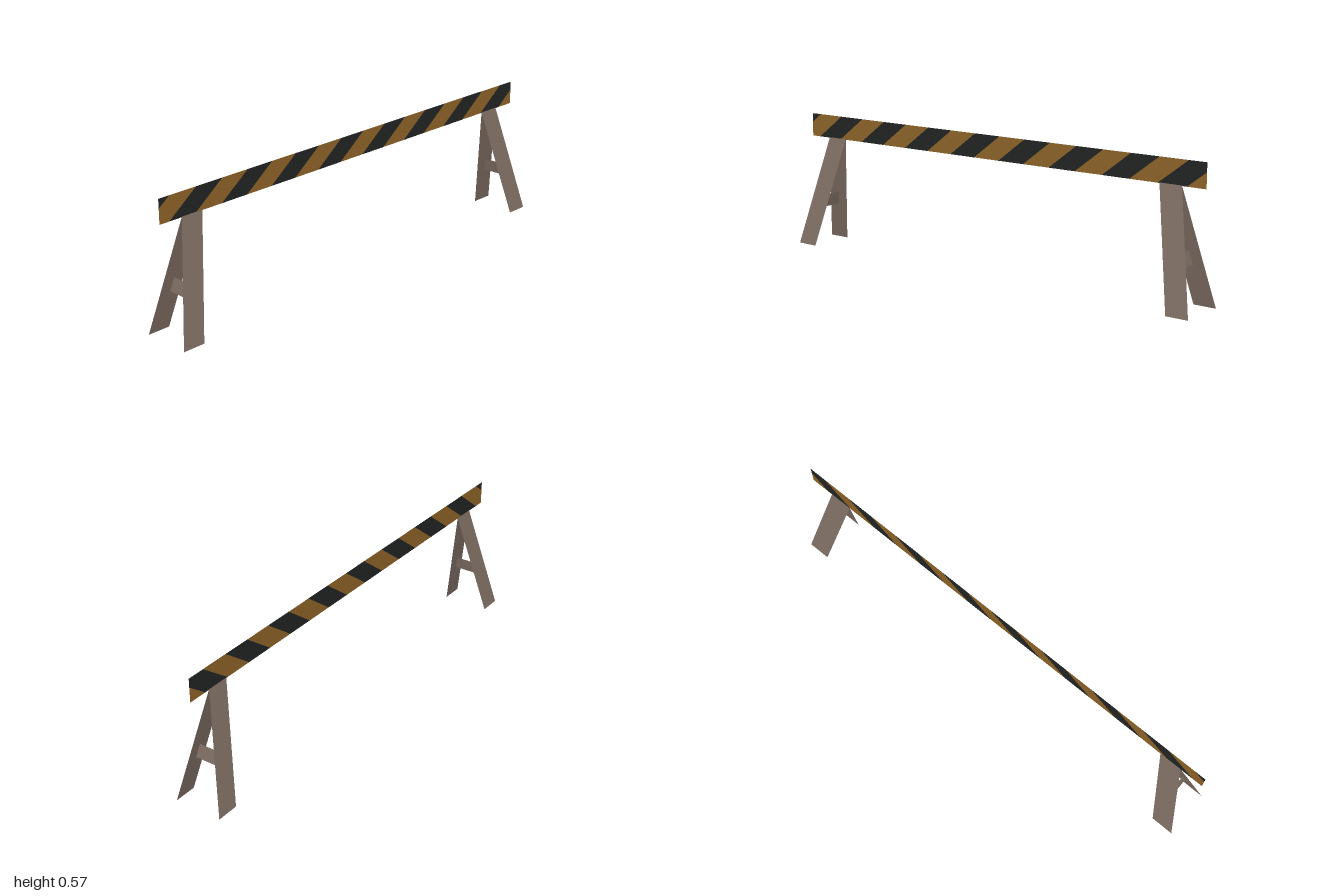
import * as THREE from 'three';

const mat = (name, color) => {
  const m = new THREE.MeshStandardMaterial({ color, side: THREE.DoubleSide });
  m.name = name;
  return m;
};

// Flat sheet from four corners, counter-clockwise seen from its front
function sheet(name, corners, material) {
  const g = new THREE.BufferGeometry();
  g.setAttribute('position', new THREE.Float32BufferAttribute(corners.flat(), 3));
  g.setIndex([0, 1, 2, 0, 2, 3]);
  g.computeVertexNormals();
  const mesh = new THREE.Mesh(g, material);
  mesh.name = name;
  return mesh;
}

// Cut a polygon of [x, y] points, keeping the side where sign * x <= limit
function clip(points, sign, limit) {
  const out = [];
  points.forEach((p, i) => {
    const q = points[(i + 1) % points.length];
    const dp = sign * p[0] - limit, dq = sign * q[0] - limit;
    if (dp <= 0) out.push(p);
    if (dp * dq < 0) {
      const t = dp / (dp - dq);
      out.push([p[0] + t * (q[0] - p[0]), p[1] + t * (q[1] - p[1])]);
    }
  });
  return out;
}

export function createModel() {
  const wood = mat('weathered wood', 0x7f6f64);
  const amber = mat('amber paint', 0x8f6428);
  const black = mat('black paint', 0x222524);
  const barrier = new THREE.Group();
  barrier.name = 'barrier';

  // Striped board: alternating slanted bands cut off at both ends
  const board = new THREE.Group();
  board.name = 'stripedBoard';
  const half = 0.993, y0 = 0.468, y1 = 0.567, band = 0.124, slant = 0.13;
  for (let i = -1; i < 18; i++) {
    const x = -half + 0.044 + (i - 2) * band;
    let pts = [[x, y0], [x + band, y0], [x + band + slant, y1], [x + slant, y1]];
    pts = clip(clip(pts, 1, half), -1, half);
    if (pts.length < 3) continue;
    const shape = new THREE.Shape(pts.map(p => new THREE.Vector2(...p)));
    const stripe = new THREE.Mesh(new THREE.ShapeGeometry(shape), i % 2 ? amber : black);
    stripe.name = i % 2 ? 'amberStripe' : 'blackStripe';
    board.add(stripe);
  }
  barrier.add(board);

  // Trestles: two splayed plank legs with a cross brace, one at each end
  const topY = 0.47, w = 0.048;
  const legX = y => 0.943 - 0.1 * y / topY;
  const legZ = y => 0.101 * (1 - y / topY);
  for (const turn of [0, Math.PI]) {
    const trestle = new THREE.Group();
    trestle.name = turn ? 'rightTrestle' : 'leftTrestle';
    for (const s of [1, -1]) {
      trestle.add(sheet(s > 0 ? 'frontLeg' : 'backLeg', [
        [legX(0) - s * w, 0, s * legZ(0)],
        [legX(0) + s * w, 0, s * legZ(0)],
        [legX(topY) + s * w, topY, 0],
        [legX(topY) - s * w, topY, 0],
      ], wood));
    }
    const a = 0.161, b = 0.218;
    trestle.add(sheet('crossBrace', [
      [legX(a), a, legZ(a)], [legX(a), a, -legZ(a)],
      [legX(b), b, -legZ(b)], [legX(b), b, legZ(b)],
    ], wood));
    trestle.rotation.y = turn;
    barrier.add(trestle);
  }

  // The whole barrier stands slightly askew
  barrier.rotation.y = 0.106;
  const model = new THREE.Group();
  model.name = 'roadBarrier';
  model.add(barrier);
  return model;
}
